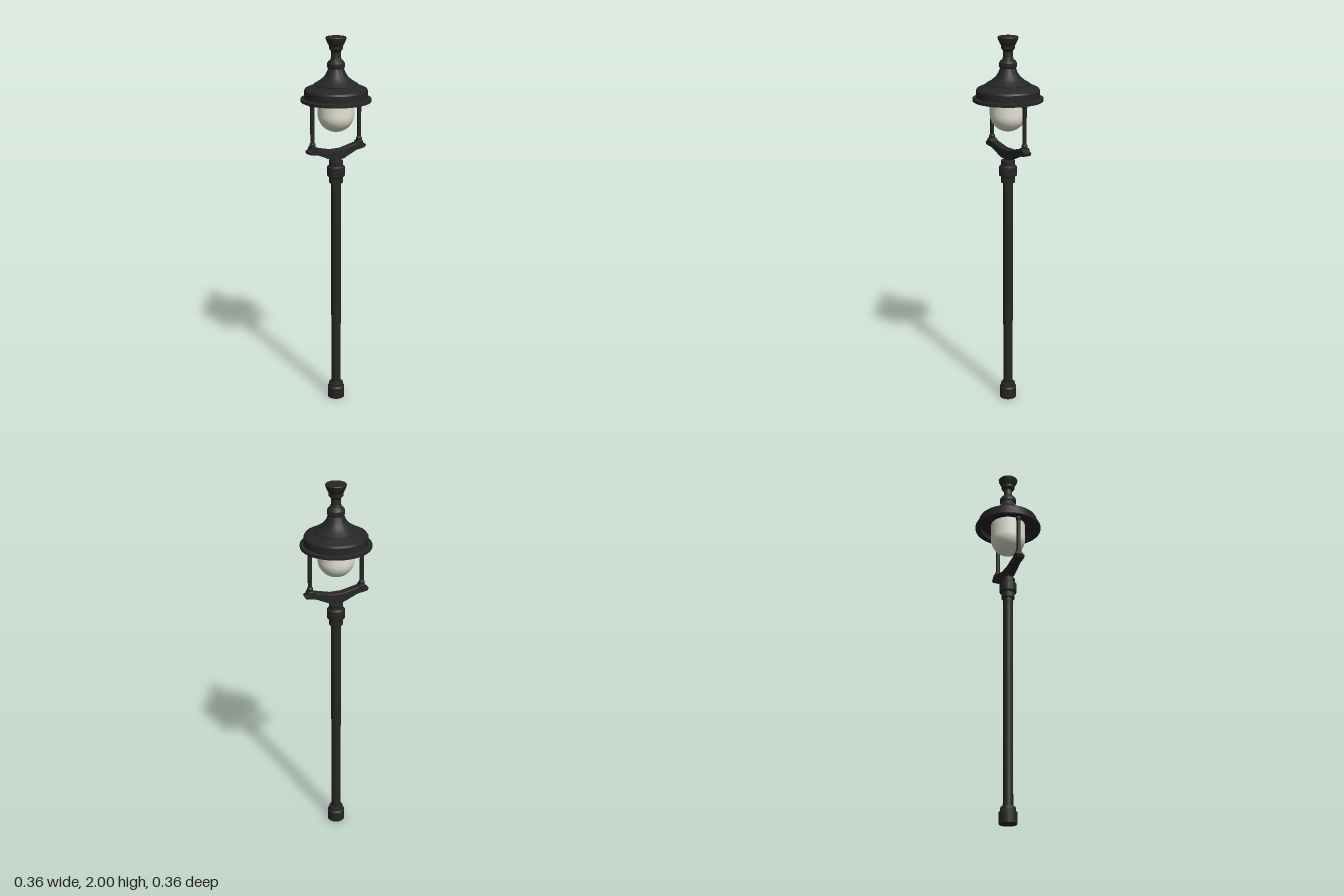
import * as THREE from 'three';
import { toCreasedNormals } from 'three/addons/utils/BufferGeometryUtils.js';

const iron = new THREE.MeshStandardMaterial({ color: 0x262626 });
const glass = new THREE.MeshStandardMaterial({ color: 0xe8e6d4 });

export function createModel() {
  const model = new THREE.Group();

  function add(name, geometry, material = iron) {
    const mesh = new THREE.Mesh(geometry, material);
    mesh.name = name;
    model.add(mesh);
    return mesh;
  }

  // Turned part from [radius, height] pairs, with sharp edges kept
  function turned(profile, segments = 48) {
    const points = profile.map(([r, y]) => new THREE.Vector2(r, y));
    return toCreasedNormals(new THREE.LatheGeometry(points, segments), 0.5);
  }

  // Ground socket, pole and upper collar
  add('base', turned([[0, 0], [0.046, 0], [0.046, 0.06], [0.04, 0.067], [0.038, 0.085], [0.026, 0.088]]));
  add('pole', new THREE.CylinderGeometry(0.026, 0.026, 1.2, 32, 1, true)).position.y = 0.66;
  add('collar', turned([
    [0.026, 1.24], [0.036, 1.242], [0.036, 1.272], [0.046, 1.28], [0.046, 1.328],
    [0.037, 1.336], [0.037, 1.36], [0.024, 1.364], [0.022, 1.385], [0, 1.385],
  ]));

  // Yoke: a flat forked bracket, right half mirrored to the left
  const half = [
    [0.035, 1.37], [0.115, 1.407], [0.14, 1.41], [0.165, 1.415], [0.172, 1.43],
    [0.158, 1.437], [0.152, 1.452], [0.125, 1.452], [0.118, 1.442], [0.03, 1.421],
  ];
  const mirrored = half.map(([x, y]) => [-x, y]).reverse();
  const outline = new THREE.Shape([...half, ...mirrored].map(([x, y]) => new THREE.Vector2(x, y)));
  const yoke = new THREE.ExtrudeGeometry(outline, {
    depth: 0.036, bevelEnabled: true, bevelThickness: 0.004, bevelSize: 0.003, bevelOffset: -0.003, bevelSegments: 1,
  });
  yoke.translate(0, 0, -0.018);
  add('yoke', yoke);

  // Two uprights carrying the hood, with swollen ends
  for (const [side, x] of [['left', 0.139], ['right', -0.139]]) {
    add(side + 'Upright', turned([
      [0.016, 1.44], [0.016, 1.465], [0.011, 1.472], [0.011, 1.655], [0.015, 1.662], [0.015, 1.7],
    ], 16)).position.x = x;
  }

  // Glass globe with a rounded bottom
  const globe = [];
  for (let i = 0; i <= 14; i++) {
    const a = (i / 14) * Math.PI / 2;
    globe.push([0.094 * Math.sin(a), 1.607 - 0.092 * Math.cos(a)]);
  }
  globe.push([0.094, 1.7], [0, 1.7]);
  add('globe', turned(globe), glass);

  // Bell-shaped hood, hollow below
  add('hood', turned([
    [0, 1.7], [0.15, 1.7], [0.152, 1.674], [0.181, 1.674], [0.181, 1.688], [0.162, 1.692],
    [0.162, 1.728], [0.157, 1.737], [0.135, 1.747], [0.112, 1.758], [0.112, 1.762],
    [0.085, 1.778], [0.063, 1.797], [0.048, 1.82], [0.04, 1.842],
  ], 64));

  // Finial: bead, neck, ring and flared cup
  add('finial', turned([
    [0.04, 1.842], [0.045, 1.847], [0.045, 1.868], [0.038, 1.878], [0.029, 1.886],
    [0.024, 1.9], [0.024, 1.925], [0.03, 1.935], [0.036, 1.94], [0.036, 1.955],
    [0.042, 1.966], [0.051, 1.986], [0.053, 1.996], [0.05, 2], [0, 2],
  ]));

  return model;
}
